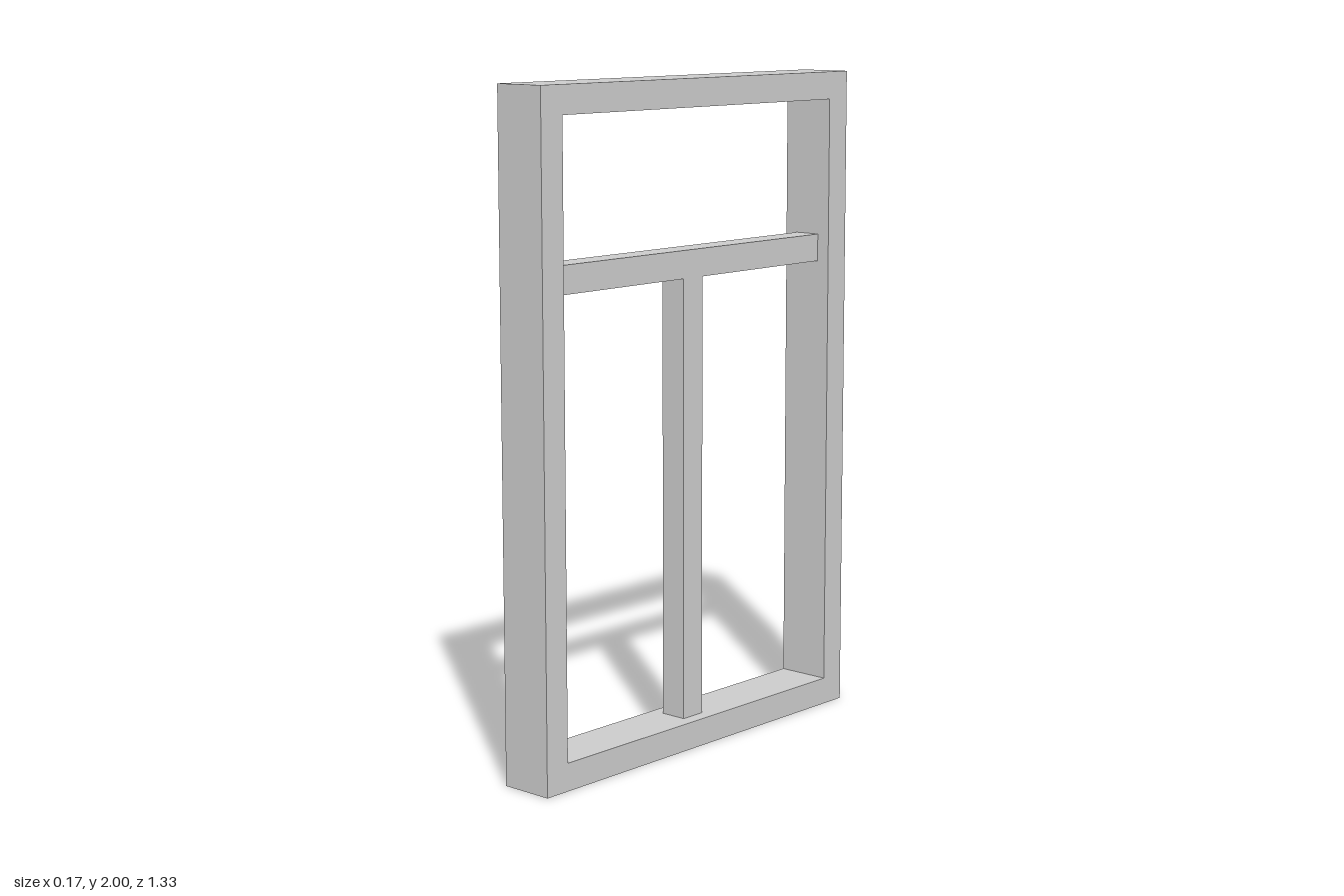
import * as THREE from 'three';

const W = 1 / 12;        // width of every bar
const HALF = 2 / 3;      // half width of the frame along z
const HEIGHT = 2;
const DEPTH = 1 / 6;     // frame depth along x

export function createModel() {
  const group = new THREE.Group();
  const material = new THREE.MeshStandardMaterial({ color: 0xcccccc, flatShading: true });

  // Outer frame: a rectangle with a rectangular opening, extruded through its depth
  const outline = new THREE.Shape([
    new THREE.Vector2(-HALF, 0), new THREE.Vector2(HALF, 0),
    new THREE.Vector2(HALF, HEIGHT), new THREE.Vector2(-HALF, HEIGHT),
  ]);
  const inner = HALF - W;
  outline.holes.push(new THREE.Path([
    new THREE.Vector2(-inner, W), new THREE.Vector2(-inner, HEIGHT - W),
    new THREE.Vector2(inner, HEIGHT - W), new THREE.Vector2(inner, W),
  ]));
  const frameGeometry = new THREE.ExtrudeGeometry(outline, { depth: DEPTH, bevelEnabled: false });
  frameGeometry.translate(0, 0, -DEPTH / 2).rotateY(Math.PI / 2);
  const frame = new THREE.Mesh(frameGeometry, material);
  frame.name = 'outerFrame';
  group.add(frame);

  // Slimmer bars centred in the frame's depth
  const addBar = (name, bottom, top, width) => {
    const bar = new THREE.Mesh(new THREE.BoxGeometry(W, top - bottom, width), material);
    bar.name = name;
    bar.position.y = (bottom + top) / 2;
    group.add(bar);
  };
  const transomTop = 1.5;
  addBar('transom', transomTop - W, transomTop, 2 * inner);
  addBar('mullion', W, transomTop - W, W);

  return group;
}
